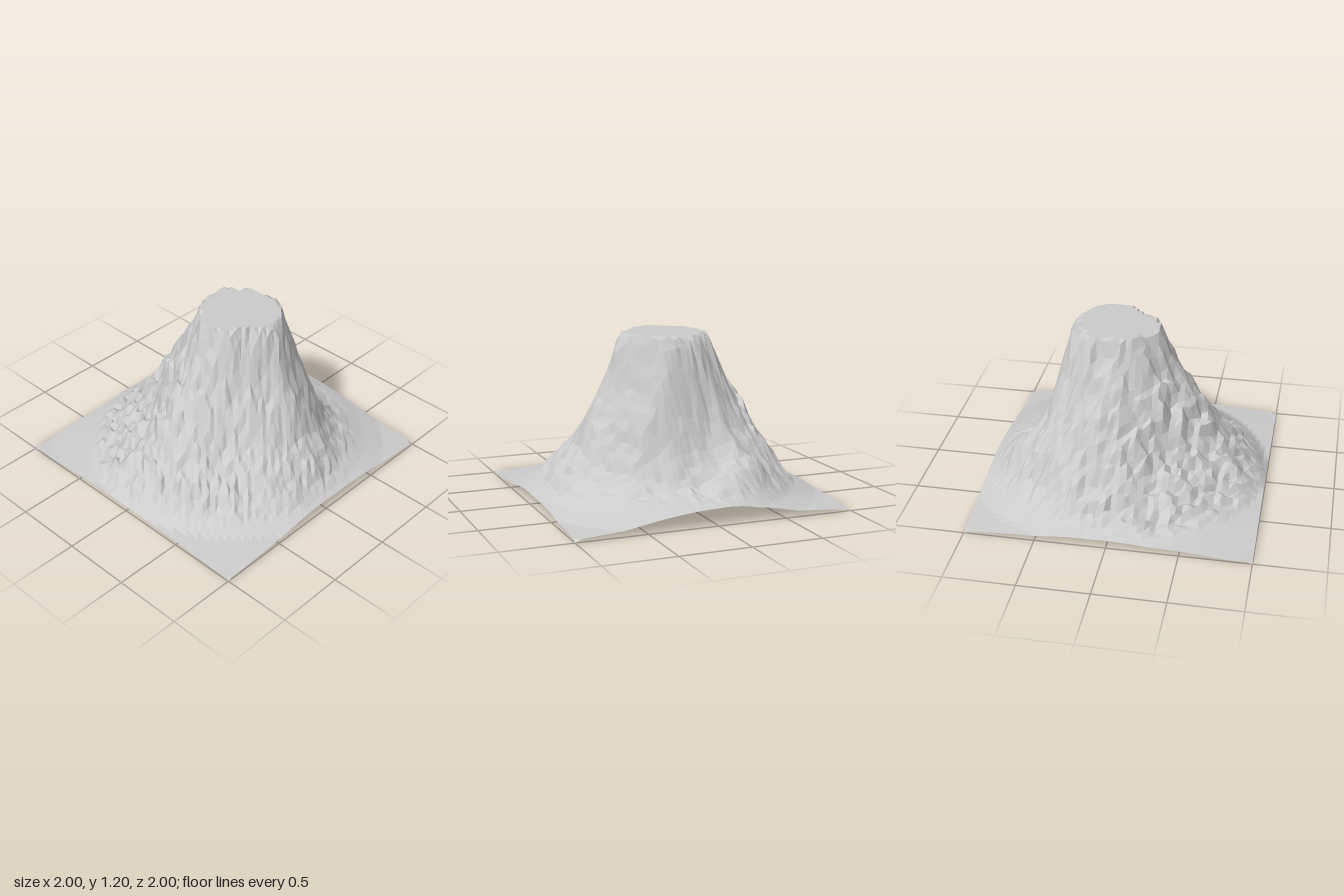
import * as THREE from 'three';

// Summit centre, flat top height and grid resolution
const CX = 0.1, CZ = 0.03, TOP = 1.195, CELLS = 50;

// Slope profiles: heights at these radii, one row per 30 degrees from +x towards +z
const RADII = [0.25, 0.35, 0.45, 0.55, 0.65, 0.75, 0.85, 0.95, 1.1, 1.4];
const SLOPES = [
  [1.30, 1.11, 0.70, 0.37, 0.22, 0.18, 0.14, 0.10, 0.06, 0.01],
  [1.30, 1.08, 0.74, 0.44, 0.25, 0.17, 0.13, 0.09, 0.04, 0.01],
  [1.32, 1.09, 0.78, 0.53, 0.32, 0.20, 0.14, 0.09, 0.04, 0.01],
  [1.34, 1.15, 0.85, 0.62, 0.41, 0.29, 0.14, 0.08, 0.05, 0.01],
  [1.28, 1.00, 0.76, 0.57, 0.42, 0.32, 0.21, 0.11, 0.04, 0.01],
  [1.26, 0.97, 0.77, 0.60, 0.46, 0.36, 0.27, 0.15, 0.04, 0.01],
  [1.26, 1.03, 0.87, 0.73, 0.57, 0.40, 0.32, 0.20, 0.04, 0.01],
  [1.25, 0.98, 0.80, 0.60, 0.41, 0.29, 0.22, 0.14, 0.05, 0.01],
  [1.25, 0.97, 0.80, 0.59, 0.39, 0.27, 0.18, 0.11, 0.05, 0.01],
  [1.27, 1.01, 0.92, 0.73, 0.48, 0.32, 0.19, 0.09, 0.03, 0.01],
  [1.27, 1.04, 0.85, 0.65, 0.50, 0.38, 0.22, 0.10, 0.04, 0.01],
  [1.29, 1.06, 0.81, 0.57, 0.46, 0.36, 0.20, 0.10, 0.04, 0.01],
];

// Repeatable hash and smooth value noise, both in -1..1
function hash(i, j) {
  const s = Math.sin(i * 127.1 + j * 311.7) * 43758.5453;
  return (s - Math.floor(s)) * 2 - 1;
}
const ease = (t) => t * t * (3 - 2 * t);
const { lerp, clamp, smoothstep } = THREE.MathUtils;
function noise(x, y) {
  const i = Math.floor(x), j = Math.floor(y);
  const u = ease(x - i), v = ease(y - j);
  return lerp(lerp(hash(i, j), hash(i + 1, j), u), lerp(hash(i, j + 1), hash(i + 1, j + 1), u), v);
}

function profile(row, r) {
  const k = RADII.findIndex((end) => r < end);
  if (k === 0) return row[0];
  if (k < 0) return row[RADII.length - 1];
  return lerp(row[k - 1], row[k], (r - RADII[k - 1]) / (RADII[k] - RADII[k - 1]));
}

function heightAt(x, z) {
  const dx = x - CX, dz = z - CZ;
  const angle = Math.atan2(dz, dx);
  const count = SLOPES.length;
  const sector = ((angle / (2 * Math.PI)) * count + count) % count;
  const a = Math.floor(sector);

  // Gullies and ridges push the slope in and out, least on the smooth +x+z wall
  const rough = 0.6 - 0.4 * Math.cos(angle - 0.7);
  const mask = smoothstep(1.02 - Math.hypot(x, z), 0, 0.2);
  const ridges = 0.022 * noise(dx * 7 + 9, dz * 7 + 4) + 0.03 * rough * noise(x * 15 + 3, z * 15 + 8);
  const r = Math.hypot(dx, dz) + mask * ridges;

  const h = lerp(profile(SLOPES[a], r), profile(SLOPES[(a + 1) % count], r), sector - a);
  const grit = mask * rough * 0.03 * hash(Math.round(x * 25), Math.round(z * 25));
  return clamp(h + grit, 0, TOP);
}

export function createModel() {
  const group = new THREE.Group();
  group.name = 'mountain';

  // One open sheet of land, raised by the slope rule
  const sheet = new THREE.PlaneGeometry(2, 2, CELLS, CELLS).rotateX(-Math.PI / 2);
  const pos = sheet.attributes.position;
  for (let i = 0; i < pos.count; i++) {
    const x = pos.getX(i), z = pos.getZ(i);
    const y = heightAt(x, z);
    // Shift the rocky vertices sideways for craggy little ledges
    const shift = Math.hypot(x, z) < 0.95 && y < TOP ? 0.008 : 0;
    pos.setXYZ(i, x + shift * hash(i, 1), y, z + shift * hash(i, 2));
  }
  // Corners rest on the ground
  for (const c of [0, CELLS, pos.count - 1 - CELLS, pos.count - 1]) pos.setY(c, 0);

  const geometry = sheet.toNonIndexed();
  geometry.computeVertexNormals();
  const rock = new THREE.MeshStandardMaterial({ color: 0xcccccc, flatShading: true, side: THREE.DoubleSide });
  const land = new THREE.Mesh(geometry, rock);
  land.name = 'mountainTerrain';
  group.add(land);
  return group;
}
